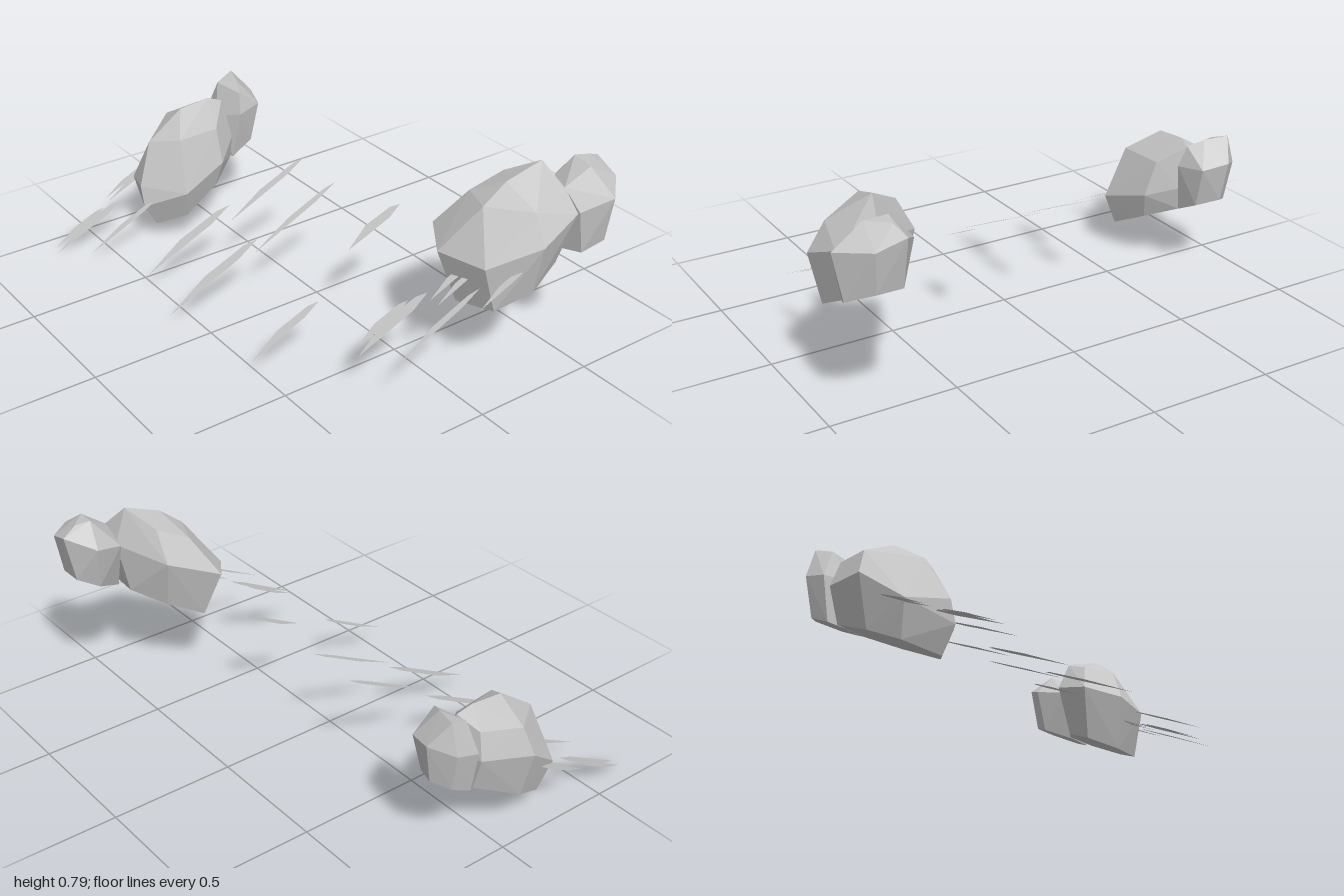
import * as THREE from 'three';
import { ConvexGeometry } from 'three/addons/geometries/ConvexGeometry.js';

// Everything sits on parallel planes climbing toward +x
const SLOPE = 0.496;
const baseY = (x) => 0.222 + SLOPE * x;
const streakY = (x) => 0.358 + SLOPE * x;

const grey = new THREE.MeshStandardMaterial({ color: 0xc4c4c4, side: THREE.DoubleSide });
grey.name = 'pale grey';

// Faceted lump: flat sloping base ring [x, z] plus hull points [x, y, z]
function lump(name, base, upper) {
  const points = [
    ...base.map(([x, z]) => new THREE.Vector3(x, baseY(x), z)),
    ...upper.map((p) => new THREE.Vector3(...p)),
  ];
  const mesh = new THREE.Mesh(new ConvexGeometry(points), grey);
  mesh.name = name;
  return mesh;
}

// Flat leaf-shaped streak spanning x0..x1 and z0..z1 on the sloping plane
const LEAF = [[0, 0.7], [0.35, 0.85], [0.75, 1], [1, 0.7], [0.88, 0.25], [0.45, 0]];
function streak(x0, x1, z0, z1) {
  const outline = LEAF.map(([u, v]) => new THREE.Vector2(x0 + u * (x1 - x0), -(z0 + v * (z1 - z0))));
  const geometry = new THREE.ShapeGeometry(new THREE.Shape(outline));
  const pos = geometry.attributes.position;
  for (let i = 0; i < pos.count; i++) {
    const x = pos.getX(i);
    pos.setXYZ(i, x, streakY(x), -pos.getY(i));
  }
  geometry.computeVertexNormals();
  const mesh = new THREE.Mesh(geometry, grey);
  mesh.name = 'streak';
  return mesh;
}

export function createModel() {
  const model = new THREE.Group();
  model.name = 'streakingLumps';

  // Rear pair
  const rear = new THREE.Group();
  rear.name = 'rearPair';
  rear.add(
    lump('rearLargeLump',
      [[-0.29, -0.76], [-0.19, -0.67], [-0.025, -0.7], [0.1, -0.78], [0.08, -0.91], [-0.12, -0.95], [-0.25, -0.91]],
      [
        // widest ring
        [-0.345, 0.18, -0.755], [-0.21, 0.25, -0.63], [0, 0.315, -0.68], [0.115, 0.37, -0.78],
        [0.085, 0.4, -0.95], [-0.125, 0.36, -1], [-0.29, 0.23, -0.94], [-0.345, 0.265, -0.78],
        // crown
        [-0.265, 0.43, -0.83], [-0.185, 0.46, -0.71], [0.005, 0.455, -0.73], [-0.107, 0.54, -0.83],
        [0.03, 0.553, -0.83], [0.09, 0.53, -0.82], [-0.1, 0.47, -0.96], [0.07, 0.5, -0.92],
      ]),
    lump('rearSmallLump',
      [[0.21, -0.78], [0.25, -0.87], [0.2, -0.93], [0.11, -0.93], [0.09, -0.86], [0.11, -0.77]],
      [
        [0.135, 0.48, -0.74], [0.25, 0.49, -0.775], [0.28, 0.51, -0.88], [0.21, 0.48, -0.96],
        [0.11, 0.45, -0.96], [0.08, 0.45, -0.85],
        [0.15, 0.565, -0.77], [0.18, 0.59, -0.83], [0.21, 0.6, -0.925], [0.13, 0.57, -0.91],
      ]));
  model.add(rear);

  // Front pair
  const front = new THREE.Group();
  front.name = 'frontPair';
  front.add(
    lump('frontLargeLump',
      [[0.125, 0.69], [0.165, 0.85], [0.29, 0.91], [0.425, 0.88], [0.44, 0.75], [0.34, 0.63], [0.2, 0.58]],
      [
        // widest ring
        [0.065, 0.49, 0.645], [0.115, 0.49, 0.845], [0.288, 0.57, 0.955], [0.465, 0.64, 0.93],
        [0.478, 0.65, 0.77], [0.36, 0.6, 0.58], [0.155, 0.52, 0.51],
        // crown
        [0.185, 0.675, 0.74], [0.28, 0.75, 0.75], [0.427, 0.8, 0.77], [0.465, 0.71, 0.86],
        [0.235, 0.67, 0.61], [0.36, 0.73, 0.65], [0.3, 0.68, 0.89],
      ]),
    lump('frontSmallLump',
      [[0.465, 0.8], [0.5, 0.93], [0.58, 0.96], [0.66, 0.88], [0.66, 0.78], [0.58, 0.74]],
      [
        [0.475, 0.64, 0.93], [0.575, 0.695, 0.995], [0.685, 0.71, 0.89], [0.7, 0.745, 0.78],
        [0.595, 0.69, 0.705], [0.475, 0.66, 0.735],
        [0.565, 0.775, 0.875], [0.635, 0.775, 0.8], [0.575, 0.783, 0.785], [0.47, 0.71, 0.85],
      ]));
  model.add(front);

  // Streaks [x0, x1, z0, z1]
  const streaks = new THREE.Group();
  streaks.name = 'streaks';
  [
    // between the pairs
    [-0.6, -0.19, -0.17, -0.115], [-0.54, -0.15, -0.435, -0.38], [-0.2, 0.165, -0.345, -0.305],
    [-0.245, 0.15, -0.105, -0.07], [-0.035, 0.21, 0.215, 0.27], [-0.54, -0.24, 0.315, 0.36],
    // trailing the rear pair
    [-0.69, -0.45, -0.95, -0.91], [-0.695, -0.385, -0.925, -0.87], [-0.62, -0.28, -0.76, -0.725],
    [-0.42, -0.2, -0.99, -0.955], [-0.42, -0.16, -0.965, -0.925],
    // trailing the front pair
    [-0.295, -0.06, 0.615, 0.655], [-0.31, 0, 0.64, 0.695], [-0.245, 0.11, 0.81, 0.84],
    [-0.02, 0.2, 0.69, 0.725], [-0.02, 0.2, 0.735, 0.765], [0.05, 0.27, 0.885, 0.915],
  ].forEach((s) => streaks.add(streak(...s)));
  model.add(streaks);

  return model;
}
